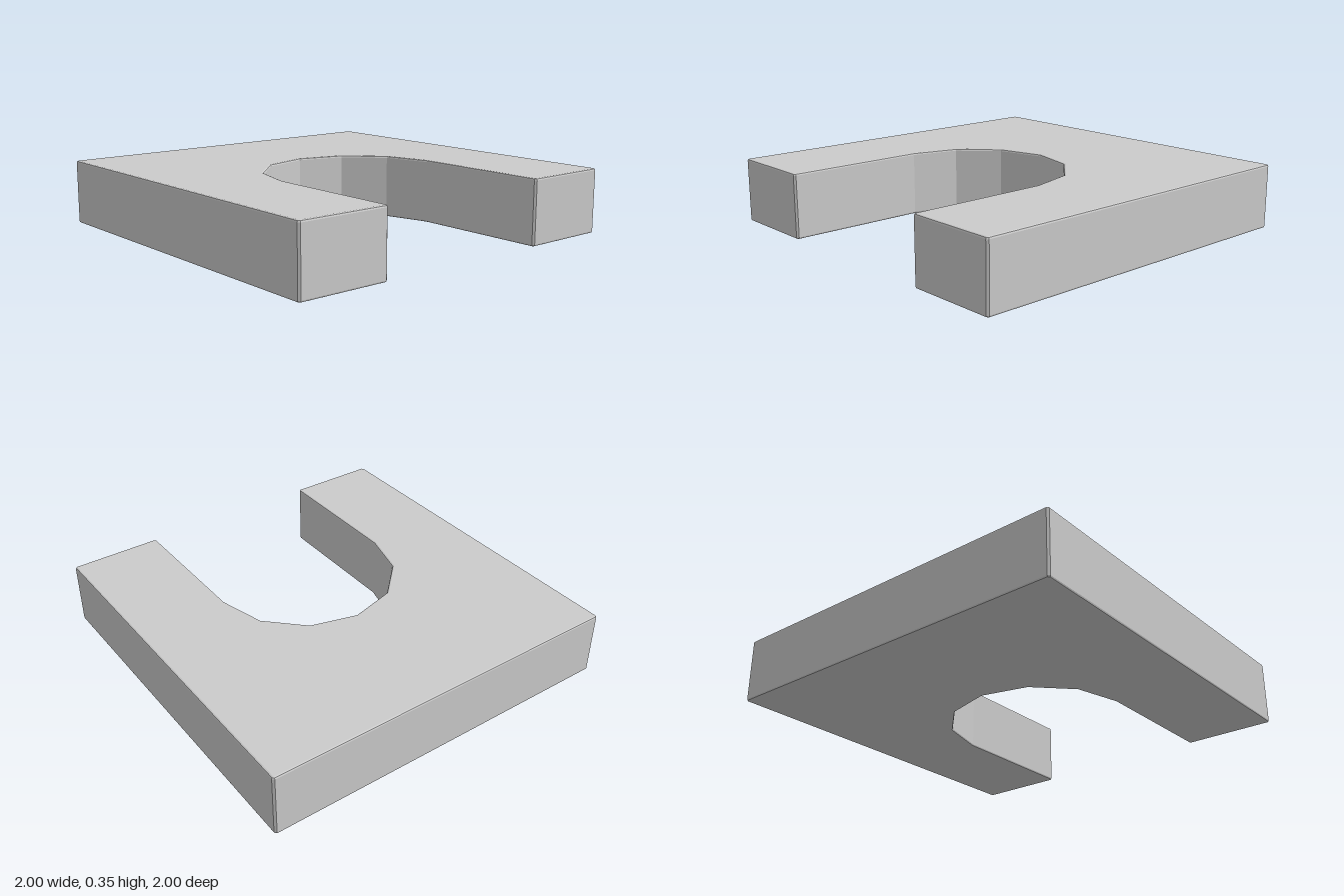
import * as THREE from 'three';

const HEIGHT = 0.35, EDGE = 0.01;   // slab thickness and softened edge width
const ARC_R = 0.5, ARC_Z = 0.235;   // faceted arch of the notch

export function createModel() {
  const group = new THREE.Group();
  group.name = 'notchedSlab';

  // Right half of the outline (shape y = -z): arch, leg tip, outer side
  const half = [];
  for (let i = 0; i <= 3; i++) {
    const a = Math.PI / 2 - i * Math.PI / 6;
    half.push([ARC_R * Math.cos(a), ARC_R * Math.sin(a) - ARC_Z]);
  }
  half[0][0] = 0;
  half.push(
    [0.5, -1 + EDGE], [0.5 + EDGE, -1],
    [1 - EDGE, -1], [1, -1 + EDGE],
    [1, 1 - EDGE], [1 - EDGE, 1],
  );

  // Mirror to close the outline
  const mirrored = half.slice(1).reverse().map(([x, y]) => [-x, y]);
  const outline = [...half, ...mirrored].map(([x, y]) => new THREE.Vector2(x, y));

  // Slab with finely bevelled top and bottom edges
  const geometry = new THREE.ExtrudeGeometry(new THREE.Shape(outline), {
    depth: HEIGHT - 2 * EDGE,
    bevelEnabled: true,
    bevelThickness: EDGE,
    bevelSize: EDGE,
    bevelOffset: -EDGE,
    bevelSegments: 2,
  });
  geometry.translate(0, 0, EDGE);
  geometry.rotateX(-Math.PI / 2);

  const slab = new THREE.Mesh(geometry, new THREE.MeshStandardMaterial({ color: 0xcccccc }));
  slab.name = 'slab';
  group.add(slab);
  return group;
}
